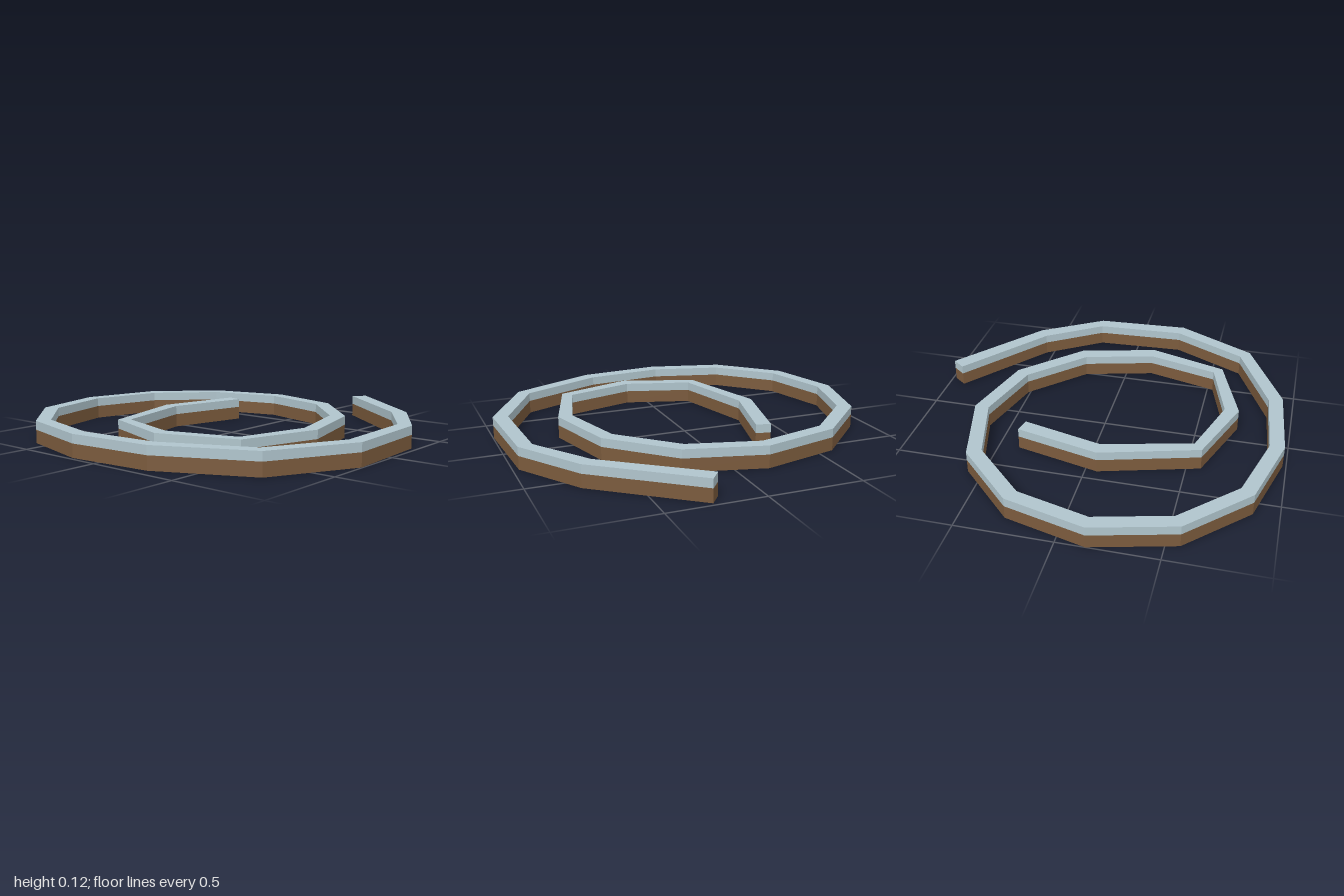
import * as THREE from 'three';

const HEIGHT = 0.118;
const SPLIT = 0.071;

// Spiral path from the inner end to the outer end: outer x, z then inner x, z of each mitred corner
const CORNERS = [
  [0.39, -0.328, 0.372, -0.25], [-0.06, -0.435, -0.06, -0.358],
  [-0.575, -0.286, -0.53, -0.238], [-0.717, 0.117, -0.64, 0.117],
  [-0.575, 0.537, -0.53, 0.49], [-0.147, 0.67, -0.147, 0.592],
  [0.272, 0.56, 0.233, 0.49], [0.58, 0.25, 0.511, 0.211],
  [0.689, -0.167, 0.612, -0.167], [0.58, -0.587, 0.511, -0.548],
  [0.277, -0.89, 0.233, -0.823], [-0.147, -1.0, -0.147, -0.923],
  [-0.57, -0.89, -0.53, -0.823], [-0.87, -0.586, -0.802, -0.548],
  [-0.982, -0.167, -0.905, -0.167], [-0.94, 0.291, -0.865, 0.265],
  [-0.712, 0.767, -0.659, 0.712], [-0.272, 0.996, -0.257, 0.916],
  [0.246, 0.97, 0.233, 0.895], [0.59, 0.752, 0.542, 0.688],
  [0.98, 0.262, 0.913, 0.21],
];

// Sweeps a three-sided section along the spiral and closes both ends
function sweep(section) {
  const positions = [];
  const quad = (a, b, c, d) => positions.push(...a, ...b, ...c, ...a, ...c, ...d);
  const rings = CORNERS.map(([ox, oz, ix, iz]) =>
    section.map(([side, y]) => (side === 'outer' ? [ox, y, oz] : [ix, y, iz])));
  for (let i = 0; i < rings.length - 1; i++) {
    const a = rings[i], b = rings[i + 1];
    for (let s = 0; s < 3; s++) quad(a[s], b[s], b[s + 1], a[s + 1]);
  }
  quad(...rings[0]);
  quad(...[...rings[rings.length - 1]].reverse());
  const geometry = new THREE.BufferGeometry();
  geometry.setAttribute('position', new THREE.Float32BufferAttribute(positions, 3));
  geometry.computeVertexNormals();
  return geometry;
}

export function createModel() {
  const group = new THREE.Group();
  group.name = 'spiralWall';

  const stone = new THREE.MeshStandardMaterial({ color: 0xb0c5cd });
  stone.name = 'pale blue grey';
  const earth = new THREE.MeshStandardMaterial({ color: 0x7b5b3d });
  earth.name = 'earth brown';

  // Pale upper band: outer side, top, inner side
  const upper = new THREE.Mesh(sweep([
    ['outer', SPLIT], ['outer', HEIGHT], ['inner', HEIGHT], ['inner', SPLIT],
  ]), stone);
  upper.name = 'upperBand';

  // Brown lower band: inner side, underside, outer side
  const lower = new THREE.Mesh(sweep([
    ['inner', SPLIT], ['inner', 0], ['outer', 0], ['outer', SPLIT],
  ]), earth);
  lower.name = 'lowerBand';

  group.add(upper, lower);
  return group;
}
